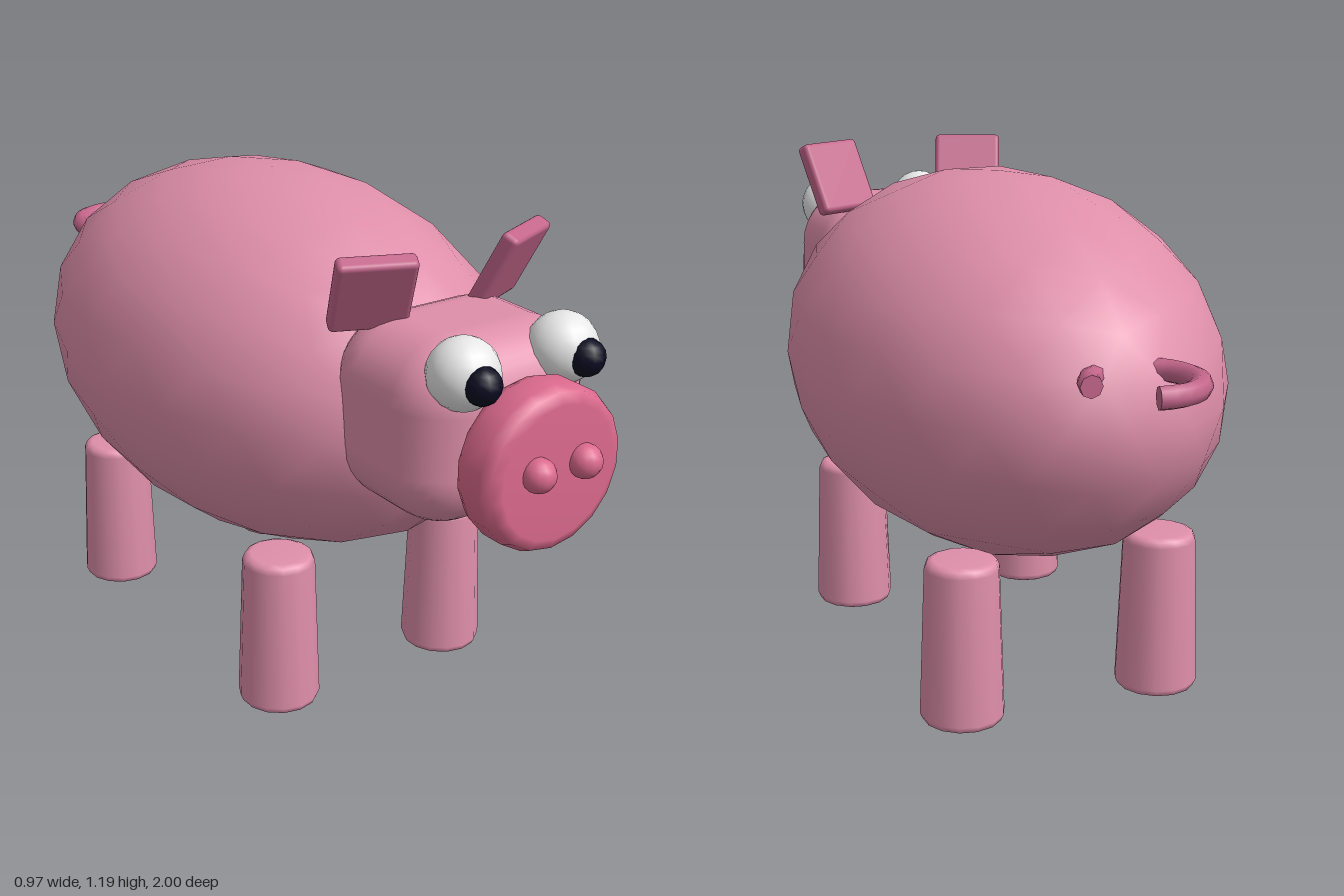
import * as THREE from 'three';
import { mergeVertices } from 'three/addons/utils/BufferGeometryUtils.js';
import { RoundedBoxGeometry } from 'three/addons/geometries/RoundedBoxGeometry.js';

const material = (name, color) => Object.assign(new THREE.MeshStandardMaterial({ color }), { name });

// Turned solid with softened rims; smooth sides, flat ends
function roundedCylinder(rTop, rBottom, height, bevel, sides) {
  const k = bevel * 0.3;
  const profile = [
    [0, 0], [rBottom - bevel, 0], [rBottom - k, k], [rBottom, bevel],
    [rTop, height - bevel], [rTop - k, height - k], [rTop - bevel, height], [0, height],
  ].map(([x, y]) => new THREE.Vector2(x, y));
  return new THREE.LatheGeometry(profile, sides);
}

export function createModel() {
  const model = new THREE.Group();
  model.name = 'pig';
  const skin = material('pink skin', 0xdf8faa);
  const snoutPink = material('snout pink', 0xdc6a8e);
  const earPink = material('dark pink', 0xc4668a);
  const white = material('eye white', 0xeeeeee);
  const black = material('pupil black', 0x0a0a20);

  const add = (name, geometry, mat, x, y, z) => {
    const mesh = new THREE.Mesh(geometry, mat);
    mesh.name = name;
    mesh.position.set(x, y, z);
    model.add(mesh);
    return mesh;
  };

  // Body: coarse smooth-shaded ellipsoid with a vertex at the top
  const ball = new THREE.IcosahedronGeometry(1, 3);
  ball.deleteAttribute('uv');
  const bodyGeometry = mergeVertices(ball, 1e-4);
  bodyGeometry.rotateX(-Math.atan((1 + Math.sqrt(5)) / 2));
  bodyGeometry.rotateY(Math.PI);
  bodyGeometry.scale(0.483, 0.45, 0.742);
  add('body', bodyGeometry, skin, 0, 0.74, -0.095);

  // Head and snout
  add('head', new RoundedBoxGeometry(0.48, 0.42, 0.41, 4, 0.14), skin, 0, 0.82, 0.63);
  const snout = roundedCylinder(0.185, 0.185, 0.125, 0.035, 18);
  snout.rotateX(Math.PI / 2);
  add('snout', snout, snoutPink, 0, 0.782, 0.83);

  // Paired features
  for (const s of [-1, 1]) {
    const side = s > 0 ? 'left' : 'right';
    add(side + 'Nostril', new THREE.SphereGeometry(0.038, 14, 10), snoutPink, s * 0.063, 0.797, 0.962);
    add(side + 'Eye', new THREE.SphereGeometry(0.079, 16, 12), white, s * 0.134, 0.98, 0.8);
    add(side + 'Pupil', new THREE.SphereGeometry(0.042, 10, 8), black, s * 0.14, 0.977, 0.867);
    const ear = add(side + 'Ear', new RoundedBoxGeometry(0.175, 0.192, 0.042, 2, 0.012), earPink, s * 0.187, 1.093, 0.56);
    ear.rotation.set(0.47, s * 0.4, 0, 'YXZ');
    for (const [end, z] of [['Front', 0.297], ['Back', -0.485]]) {
      add(side + end + 'Leg', roundedCylinder(0.086, 0.098, 0.39, 0.02, 14), skin, s * 0.248, 0, z);
    }
  }

  // Curled tail: horizontal open ring with capped ends
  const R = 0.113, r = 0.025;
  const tail = new THREE.Group();
  tail.name = 'tail';
  tail.position.set(0, 0.865, -0.862);
  tail.rotation.x = -Math.PI / 2;
  const start = 1.33, arc = 4.83;
  const ring = new THREE.Mesh(new THREE.TorusGeometry(R, r, 8, 20, arc), earPink);
  ring.name = 'tailCurl';
  ring.rotation.z = start;
  tail.add(ring);
  for (const [angle, facing] of [[start, 1], [start + arc, -1]]) {
    const cap = new THREE.Mesh(new THREE.CircleGeometry(r, 8), earPink);
    cap.name = 'tailEnd';
    cap.position.set(R * Math.cos(angle), R * Math.sin(angle), 0);
    cap.lookAt(
      cap.position.x + facing * Math.sin(angle),
      cap.position.y - facing * Math.cos(angle), 0);
    tail.add(cap);
  }
  model.add(tail);
  return model;
}
